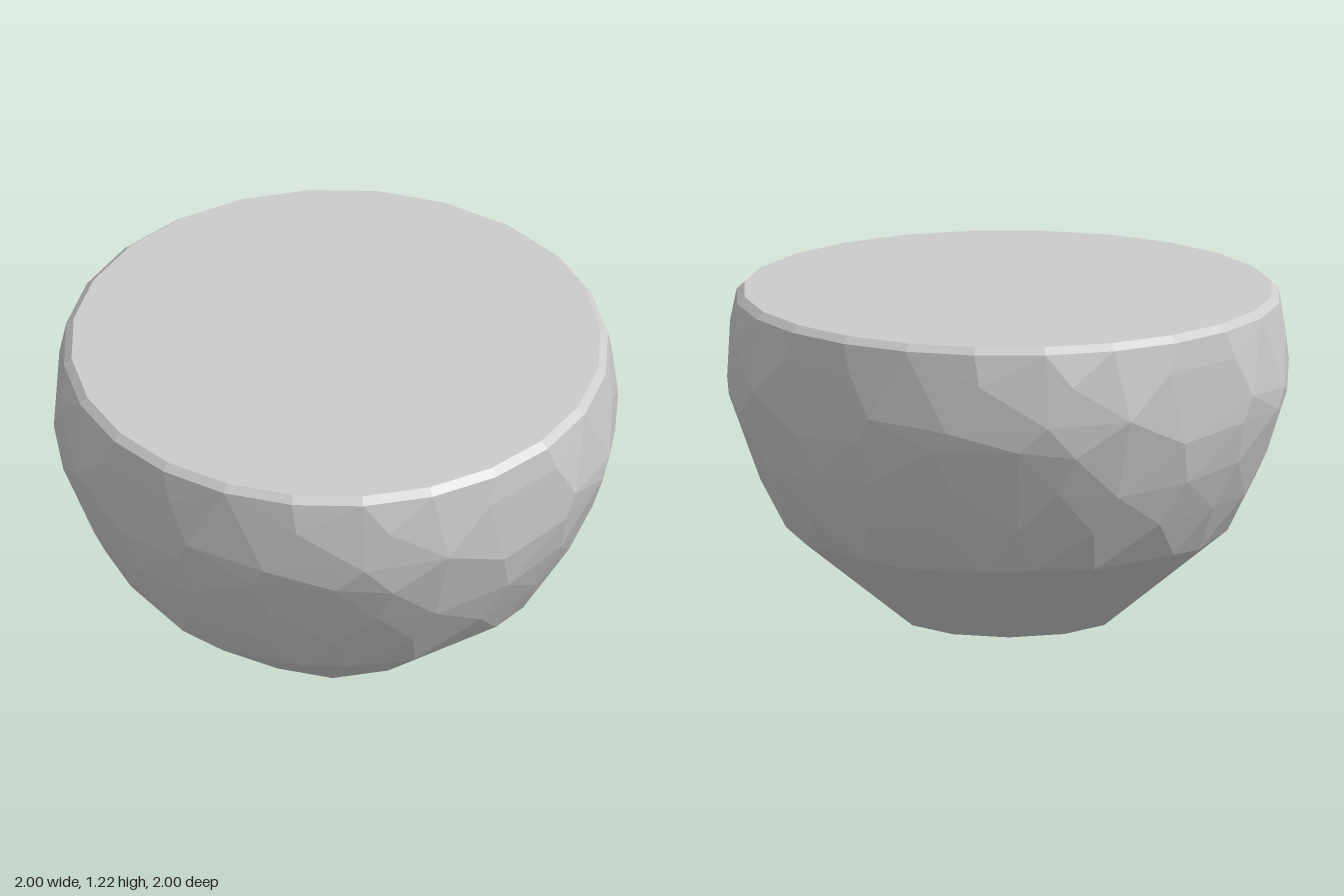
import * as THREE from 'three';
import { ConvexGeometry } from 'three/addons/geometries/ConvexGeometry.js';

// Rings of the stone: radius, height, points per quarter turn, height jitter
const RINGS = [
  [0.405, 0, 3, 0], [0.418, 0.015, 3, 0],
  [0.81, 0.335, 5, 0.02], [0.9, 0.5, 5, 0.04], [0.97, 0.66, 5, 0.04],
  [1.02, 0.8, 5, 0.04], [1.035, 0.93, 5, 0.03], [1.022, 1.08, 4, 0.03],
  [1.0, 1.19, 6, 0], [0.972, 1.215, 6, 0],
];

// Radius of the smooth profile at a given height
function radiusAt(y) {
  let i = 1;
  while (i < RINGS.length - 1 && RINGS[i][1] < y) i++;
  const [r0, y0] = RINGS[i - 1], [r1, y1] = RINGS[i];
  return r0 + ((r1 - r0) * (y - y0)) / (y1 - y0);
}

function seeded(seed) {
  return () => {
    seed = (seed * 16807) % 2147483647;
    return seed / 2147483647 - 0.5;
  };
}

export function createModel() {
  const group = new THREE.Group();
  group.name = 'facetedBowl';
  const random = seeded(4711);
  const points = [];

  // One jittered quarter, turned four times, with the sides cut flat at 1
  RINGS.forEach(([r, y, n, jitter], ring) => {
    const step = Math.PI / 2 / n;
    for (let i = 0; i < n; i++) {
      const loose = jitter > 0;
      const py = y + 2 * jitter * random();
      const pr = loose ? radiusAt(py) + 0.008 * random() : r;
      const offset = loose ? 0.5 * random() + (ring % 2) * 0.5 : 0.5;
      for (let q = 0; q < 4; q++) {
        const a = (i + offset) * step + (q * Math.PI) / 2;
        points.push(new THREE.Vector3(
          THREE.MathUtils.clamp(pr * Math.cos(a), -1, 1), py,
          THREE.MathUtils.clamp(pr * Math.sin(a), -1, 1)));
      }
    }
  });

  // Solid faceted body with flat top and foot
  const body = new THREE.Mesh(
    new ConvexGeometry(points),
    new THREE.MeshStandardMaterial({ color: 0xcccccc, flatShading: true }));
  body.name = 'bowlBody';
  group.add(body);
  return group;
}
